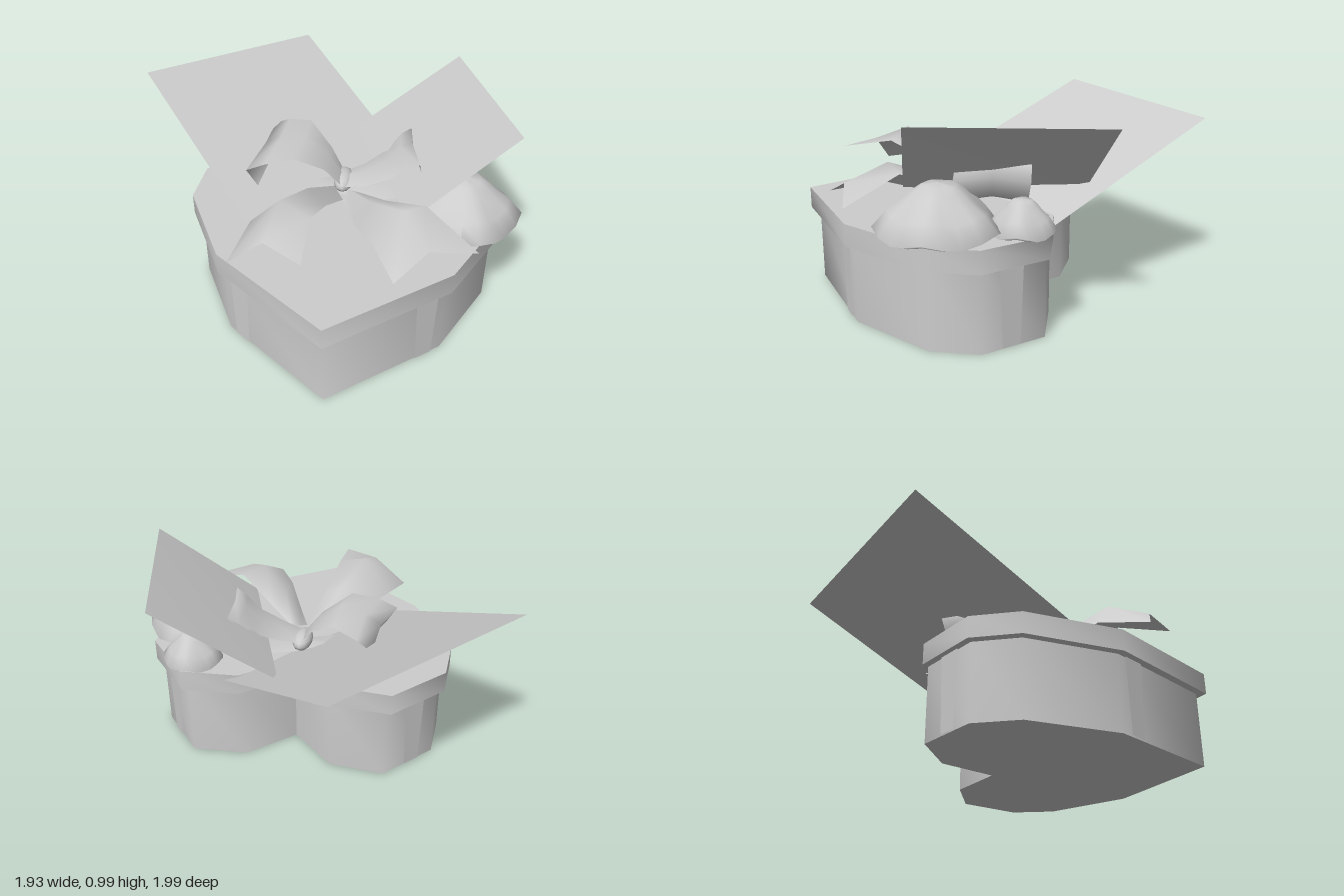
import * as THREE from 'three';
import { toCreasedNormals } from 'three/addons/utils/BufferGeometryUtils.js';

const CX = 0.105, CZ = 0.05;
const gray = new THREE.MeshStandardMaterial({ color: 0xcccccc, side: THREE.DoubleSide });
gray.name = 'plain gray';

// Right half of the heart outline: offset from the axis, z (notch to tip)
const HALF = [[0, -0.09], [0.22, -0.295], [0.495, -0.315], [0.715, -0.075], [0.725, 0.155], [0.51, 0.56], [0, 0.945]];

function add(parent, name, geometry) {
  const mesh = new THREE.Mesh(geometry, gray);
  mesh.name = name;
  parent.add(mesh);
  return mesh;
}

// Heart prism between two heights
function heart(scale, y0, y1) {
  const left = HALF.slice(1, -1).reverse().map(([x, z]) => [-x, z]);
  const points = [...HALF, ...left].map(([x, z]) =>
    new THREE.Vector2(CX + x * scale, -(CZ + (z - CZ) * scale)));
  const g = new THREE.ExtrudeGeometry(new THREE.Shape(points), { depth: y1 - y0, bevelEnabled: false });
  g.rotateX(-Math.PI / 2);
  g.translate(0, y0, 0);
  return toCreasedNormals(g, 1.4);
}

// Smooth surface through rows of [x, y, z] points
function sheet(rows) {
  const n = rows[0].length, index = [];
  for (let r = 0; r < rows.length - 1; r++) {
    for (let c = 0; c < n - 1; c++) {
      const a = r * n + c, b = a + 1, d = a + n, e = d + 1;
      index.push(a, d, b, b, d, e);
    }
  }
  const g = new THREE.BufferGeometry();
  g.setAttribute('position', new THREE.Float32BufferAttribute(rows.flat(2), 3));
  g.setIndex(index);
  g.computeVertexNormals();
  return g;
}

// Tapered ribbon strip lying on a side wall of the box
function strip(side, i, t) {
  const [ax, az] = HALF[i], [bx, bz] = HALF[i + 1];
  const len = Math.hypot(bx - ax, bz - az);
  const dx = (bx - ax) / len, dz = (bz - az) / len;
  const at = (w, y) => [
    CX + side * (ax + (bx - ax) * t + dx * w + dz * 0.008), y,
    az + (bz - az) * t + dz * w - dx * 0.008];
  const quad = [[at(-0.06, 0.38), at(0.06, 0.38)], [at(-0.045, 0.005), at(0.045, 0.005)]];
  if (side > 0) quad.forEach((row) => row.reverse());
  return sheet(quad);
}

// Ribbon loop from sections: [distance from knot, height, front z, back z]
function bowLoop(side, sections) {
  return sheet(sections.map(([u, y, f, b]) => {
    const x = 0.08 + side * u;
    return [[x, y, f], [x - side * u * 0.12, y + 0.02, (f + b) / 2], [x - side * u * 0.14, y, b]];
  }));
}

// Ruffled flower head with a round middle
function flower(radius, y0, height, waves) {
  const profile = [[0.001, 1], [0.28, 0.97], [0.44, 0.83], [0.56, 0.67], [0.78, 0.45], [1, 0.08], [0.85, 0]];
  const g = new THREE.LatheGeometry(
    profile.map(([r, y]) => new THREE.Vector2(r * radius, y * height)).reverse(), 20);
  const p = g.attributes.position;
  for (let i = 0; i < p.count; i++) {
    const x = p.getX(i), z = p.getZ(i);
    const r = Math.hypot(x, z) / radius, w = Math.cos(Math.atan2(z, x) * waves) * r * r;
    p.setXYZ(i, x * (1 + w * 0.06), y0 + Math.max(0, p.getY(i) + w * height * 0.1), z * (1 + w * 0.06));
  }
  g.computeVertexNormals();
  return g;
}

export function createModel() {
  const model = new THREE.Group();
  model.name = 'heartGiftBox';

  // Box and lid
  add(model, 'boxBody', heart(1, 0, 0.39));
  add(model, 'lid', heart(1.055, 0.38, 0.487));
  for (const side of [-1, 1]) {
    add(model, 'frontRibbonStrip', strip(side, 5, 0.16));
    add(model, 'backRibbonStrip', strip(side, 2, 0.55));
  }

  // Large flat leaves
  add(model, 'leftLeaf', sheet([
    [[-0.24, 0.86, -1], [-0.97, 0.94, -0.26]],
    [[0.42, 0.45, -0.31], [-0.31, 0.53, 0.43]]]));
  add(model, 'rightLeaf', sheet([
    [[0.63, 0.96, -0.62], [0.1, 0.58, -0.45]],
    [[0.9, 0.99, 0.22], [0.43, 0.61, 0.38]]]));

  // Bow
  const bow = new THREE.Group();
  bow.name = 'bow';
  model.add(bow);
  add(bow, 'leftLoop', bowLoop(-1, [
    [0, 0.56, 0.08, -0.06], [0.08, 0.66, 0.1, -0.11], [0.22, 0.75, 0.16, -0.21], [0.36, 0.72, 0.18, -0.26],
    [0.45, 0.68, 0.18, -0.28], [0.4, 0.6, 0.18, -0.26], [0.36, 0.54, 0.17, -0.24],
    [0.2, 0.52, 0.14, -0.16], [0, 0.51, 0.08, -0.06]]));
  add(bow, 'rightLoop', bowLoop(1, [
    [0, 0.55, 0.08, -0.06], [0.12, 0.58, 0.1, -0.1], [0.25, 0.64, 0.1, -0.16], [0.32, 0.71, 0.1, -0.2],
    [0.38, 0.74, 0.12, -0.22], [0.4, 0.66, 0.13, -0.22], [0.36, 0.56, 0.13, -0.2],
    [0.2, 0.52, 0.12, -0.14], [0, 0.51, 0.08, -0.06]]));
  add(bow, 'leftTail', sheet([
    [[0, 0.55, 0.1], [0.05, 0.57, 0.1], [0.1, 0.54, 0.17]],
    [[-0.16, 0.58, 0.3], [-0.05, 0.69, 0.3], [0.04, 0.64, 0.36]],
    [[-0.29, 0.61, 0.48], [-0.14, 0.78, 0.53], [0, 0.73, 0.58]],
    [[-0.35, 0.56, 0.72], [-0.18, 0.7, 0.73], [0, 0.69, 0.84]]]));
  add(bow, 'rightTail', sheet([
    [[0.1, 0.53, 0.17], [0.12, 0.56, 0.11], [0.17, 0.55, 0.11]],
    [[0.18, 0.53, 0.36], [0.25, 0.64, 0.31], [0.31, 0.6, 0.23]],
    [[0.27, 0.59, 0.54], [0.4, 0.72, 0.46], [0.5, 0.69, 0.37]],
    [[0.38, 0.56, 0.76], [0.52, 0.64, 0.63], [0.74, 0.59, 0.55]]]));
  const knot = add(bow, 'knot', new THREE.SphereGeometry(1, 12, 8));
  knot.scale.set(0.05, 0.045, 0.095);
  knot.position.set(0.085, 0.545, 0);

  // Flowers
  const big = add(model, 'largeFlower', flower(0.275, 0.485, 0.225, 5));
  big.position.set(0.67, 0, 0.14);
  const small = add(model, 'smallFlower', flower(0.145, 0.485, 0.155, 4));
  small.position.set(0.6, 0, -0.21);

  return model;
}
